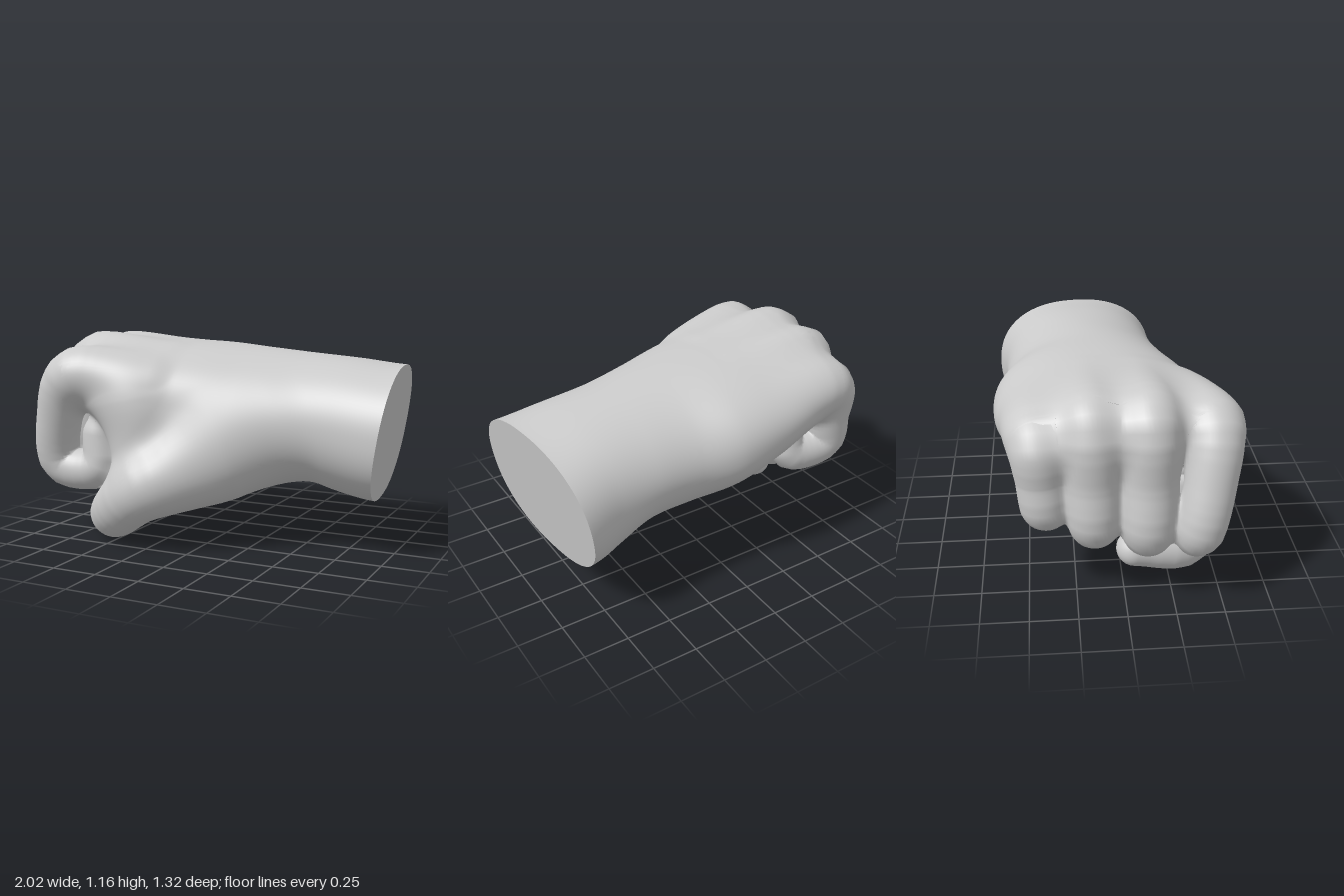
import * as THREE from 'three';

// Hand sections every 0.25 along x from -0.8: [top, bottom, back, front, squareness]
const X0 = -0.8, STEP = 0.25, X_FIST = -0.77, X_WRIST = 0.95;
const SECTIONS = [
  [1.08, 0.66, -0.55, 0.52, 2.3], [1.11, 0.62, -0.615, 0.53, 2.2], [1.11, 0.52, -0.655, 0.50, 2.2], [1.10, 0.43, -0.66, 0.45, 2.2],
  [1.08, 0.37, -0.61, 0.40, 2.0], [1.055, 0.36, -0.605, 0.34, 2.0], [1.03, 0.30, -0.62, 0.31, 2.2], [1.00, 0.26, -0.66, 0.31, 2.3],
];

// Joints of each digit, root to tip: [x, y, z, radius]
const DIGITS = {
  indexFinger: [[-0.30, 0.90, 0.33, 0.10], [-0.73, 0.93, 0.445, 0.145], [-0.85, 0.70, 0.42, 0.13], [-0.88, 0.41, 0.365, 0.12], [-0.63, 0.405, 0.35, 0.115], [-0.62, 0.59, 0.34, 0.11]],
  middleFinger: [[-0.30, 0.95, 0.11, 0.10], [-0.79, 0.995, 0.12, 0.15], [-0.83, 0.70, 0.12, 0.14], [-0.84, 0.415, 0.115, 0.135], [-0.58, 0.40, 0.12, 0.125], [-0.56, 0.60, 0.12, 0.115]],
  ringFinger: [[-0.30, 0.94, -0.16, 0.10], [-0.78, 0.98, -0.165, 0.15], [-0.81, 0.70, -0.16, 0.14], [-0.805, 0.45, -0.155, 0.135], [-0.55, 0.43, -0.14, 0.125], [-0.53, 0.62, -0.13, 0.115]],
  littleFinger: [[-0.30, 0.85, -0.41, 0.10], [-0.75, 0.885, -0.425, 0.15], [-0.77, 0.70, -0.415, 0.13], [-0.765, 0.53, -0.40, 0.125], [-0.54, 0.51, -0.38, 0.11], [-0.51, 0.64, -0.36, 0.10]],
  thumb: [[0.30, 0.60, 0.09, 0.23], [0.06, 0.49, 0.25, 0.25], [-0.28, 0.325, 0.48, 0.175], [-0.54, 0.14, 0.35, 0.14], [-0.64, 0.172, 0.065, 0.097]],
  thumbPad: [[0.0, 0.50, 0.15, 0.20], [-0.33, 0.37, 0.26, 0.17]],
  thumbWeb: [[-0.40, 0.80, 0.36, 0.14], [-0.31, 0.42, 0.41, 0.17]],
};

const { lerp, clamp, smoothstep } = THREE.MathUtils;
const smin = (a, b, k) => {
  const h = Math.max(k - Math.abs(a - b), 0) / k;
  return Math.min(a, b) - h * h * k / 4;
};

// Centre, radii and squareness of the hand's cross-section at x
function sectionAt(x) {
  const n = SECTIONS.length;
  const s = clamp((x - X0) / STEP, 0, n - 1.0001);
  const i = Math.floor(s), t = s - i;
  const at = (j, c) => SECTIONS[clamp(j, 0, n - 1)][c];
  const v = [0, 1, 2, 3, 4].map(c => {
    const p = at(i, c), q = at(i + 1, c);
    const m0 = (q - at(i - 1, c)) / 2, m1 = (at(i + 2, c) - p) / 2;
    return p + m0 * t + (3 * (q - p) - 2 * m0 - m1) * t * t + (2 * (p - q) + m0 + m1) * t * t * t;
  });
  return { cy: (v[0] + v[1]) / 2, cz: (v[2] + v[3]) / 2, ry: (v[0] - v[1]) / 2, rz: (v[3] - v[2]) / 2, power: v[4] };
}

// A curve through the joints with a radius that follows it
function makeDigit(joints) {
  const curve = new THREE.CatmullRomCurve3(joints.map(j => new THREE.Vector3(j[0], j[1], j[2])));
  const radius = u => {
    const s = curve.getUtoTmapping(u) * (joints.length - 1);
    const i = Math.min(Math.floor(s), joints.length - 2);
    return lerp(joints[i][3], joints[i + 1][3], s - i);
  };
  const beads = [], count = joints.length * 4;
  for (let i = 0; i <= count; i++) beads.push([...curve.getPointAt(i / count).toArray(), radius(i / count)]);
  return { curve, radius, beads };
}

// Distance to a digit: a chain of round cones
function digitField({ beads }, x, y, z) {
  let best = 1e9;
  for (let i = 0; i < beads.length - 1; i++) {
    const a = beads[i], b = beads[i + 1];
    const dx = b[0] - a[0], dy = b[1] - a[1], dz = b[2] - a[2];
    const px = x - a[0], py = y - a[1], pz = z - a[2];
    const len = Math.sqrt(dx * dx + dy * dy + dz * dz);
    const along = (px * dx + py * dy + pz * dz) / len;
    const away = Math.sqrt(Math.max(px * px + py * py + pz * pz - along * along, 0));
    const taper = clamp((b[3] - a[3]) / len, -0.9, 0.9);
    const h = clamp((along + away * taper / Math.sqrt(1 - taper * taper)) / len, 0, 1);
    best = Math.min(best, Math.hypot(along - h * len, away) - lerp(a[3], b[3], h));
  }
  return best;
}

// Distance to the hand and forearm, rounded off behind the knuckles
function handField(x, y, z) {
  const { cy, cz, ry, rz, power } = sectionAt(x);
  const q = (Math.abs((y - cy) / ry) ** power + Math.abs((z - cz) / rz) ** power) ** (1 / power);
  return -smin(-(q - 1) * Math.min(ry, rz), x - X_FIST, 0.15);
}

// Mesh from rings of points
function loft(name, rings, material) {
  const m = rings[0].length, index = [];
  for (let i = 0; i < rings.length - 1; i++)
    for (let j = 0; j < m; j++) {
      const a = i * m + j, b = i * m + (j + 1) % m;
      index.push(a, b, a + m, b, b + m, a + m);
    }
  const geometry = new THREE.BufferGeometry().setFromPoints(rings.flat());
  geometry.setIndex(index);
  geometry.computeVertexNormals();
  const mesh = new THREE.Mesh(geometry, material);
  mesh.name = name;
  return mesh;
}

export function createModel() {
  const group = new THREE.Group();
  group.name = 'fist';
  const skin = new THREE.MeshStandardMaterial({ color: 0xcccccc });
  const digits = Object.fromEntries(Object.entries(DIGITS).map(([k, v]) => [k, makeDigit(v)]));
  const fingers = Object.keys(digits).filter(k => k.endsWith('Finger'));

  // All parts melted together: tight creases low between the fingers, soft ones over the knuckles and thumb
  const field = (x, y, z) => {
    const knuckle = smoothstep(y, 0.65, 1.0);
    const pad = smin(digitField(digits.thumbPad, x, y, z), digitField(digits.thumbWeb, x, y, z), 0.1);
    const thumb = smin(digitField(digits.thumb, x, y, z), pad, 0.08);
    const hand = smin(handField(x, y, z), thumb, 0.18);
    const fist = fingers.reduce((d, k) => smin(d, digitField(digits[k], x, y, z), lerp(0.05, 0.13, knuckle)), 1e3);
    return smin(hand, fist, lerp(0.05, 0.11, knuckle));
  };
  const gradient = (p, e) => new THREE.Vector3(
    field(p.x + e, p.y, p.z) - field(p.x - e, p.y, p.z),
    field(p.x, p.y + e, p.z) - field(p.x, p.y - e, p.z),
    field(p.x, p.y, p.z + e) - field(p.x, p.y, p.z - e)).divideScalar(2 * e);

  // The wrist is cut at a slant
  const slant = p => {
    const w = smoothstep(p.x, 0.4, X_WRIST);
    p.x += w * (0.16 * (p.y - 0.63) + 0.1 * (p.z + 0.18) - 0.027);
    return p;
  };

  // Moves a part's points onto the common skin
  const blend = mesh => {
    const pos = mesh.geometry.attributes.position, nor = mesh.geometry.attributes.normal;
    const p = new THREE.Vector3();
    for (let i = 0; i < pos.count; i++) {
      p.fromBufferAttribute(pos, i);
      let f = field(p.x, p.y, p.z);
      if (f < -0.09) continue;
      for (let s = 0; s < 7 && Math.abs(f) > 0.0005; s++) {
        const g = gradient(p, 0.003);
        p.addScaledVector(g, -0.9 * clamp(f, -0.05, 0.05) / Math.max(g.lengthSq(), 0.3));
        f = field(p.x, p.y, p.z);
      }
      const n = gradient(p, 0.008).normalize();
      slant(p);
      pos.setXYZ(i, p.x, p.y, p.z);
      nor.setXYZ(i, n.x, n.y, n.z);
    }
    group.add(mesh);
  };

  // Hand and forearm
  const handRing = (x, scale) => {
    const { cy, cz, ry, rz, power } = sectionAt(x);
    return Array.from({ length: 96 }, (_, j) => {
      const a = j / 96 * Math.PI * 2, c = Math.cos(a), s = Math.sin(a);
      const k = scale / (Math.abs(c) ** power + Math.abs(s) ** power) ** (1 / power);
      return new THREE.Vector3(x, cy + c * k * ry, cz + s * k * rz);
    });
  };
  const rings = [];
  for (let i = 0; i < 8; i++) rings.push(handRing(X_FIST, i / 8));
  for (let i = 0; i <= 90; i++) rings.push(handRing(lerp(X_FIST, X_WRIST, i / 90), 1));
  blend(loft('handAndForearm', rings, skin));

  // Flat cut of the wrist
  group.add(loft('wristCut', [1, 0].map(s => handRing(X_WRIST, s).map(slant)), skin));

  // Fingers, thumb, pad and web: round-ended tubes
  for (const [name, { curve, radius }] of Object.entries(digits)) {
    const N = 52, CAP = 8, M = 40;
    const { tangents, normals, binormals } = curve.computeFrenetFrames(N);
    const tube = [];
    for (let i = -CAP; i <= N + CAP; i++) {
      const k = clamp(i, 0, N), bend = (i - k) / CAP * Math.PI / 2;
      const r = radius(k / N), ring = r * Math.cos(bend);
      const centre = curve.getPointAt(k / N).addScaledVector(tangents[k], r * Math.sin(bend));
      tube.push(Array.from({ length: M }, (_, j) => {
        const a = j / M * Math.PI * 2;
        return centre.clone().addScaledVector(normals[k], ring * Math.cos(a)).addScaledVector(binormals[k], ring * Math.sin(a));
      }));
    }
    blend(loft(name, tube, skin));
  }
  return group;
}
